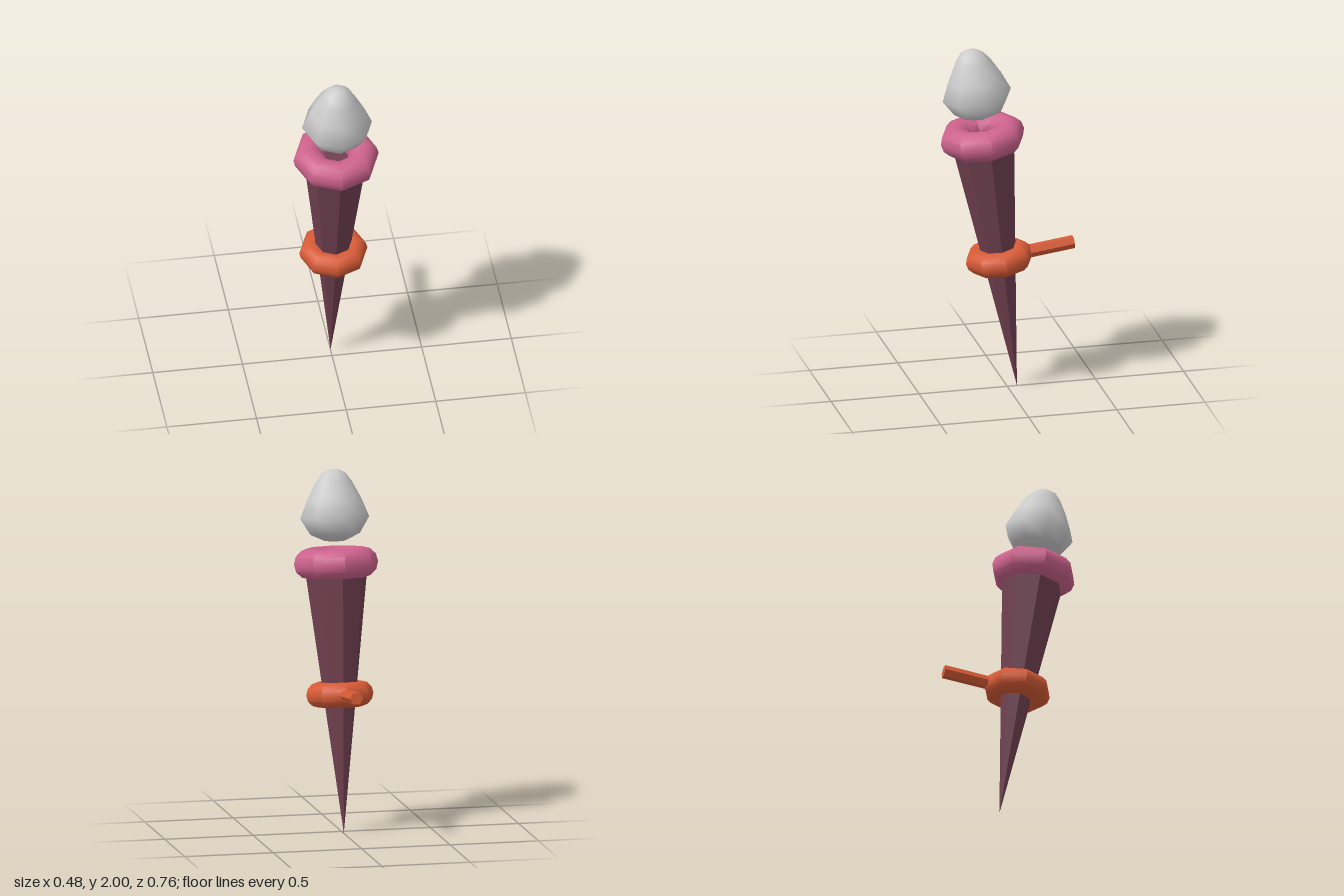
import * as THREE from 'three';
import { toCreasedNormals } from 'three/addons/utils/BufferGeometryUtils.js';

const SIDES = 8;
const material = (color) => new THREE.MeshStandardMaterial({ color });

function part(name, geometry, mat, y) {
  const mesh = new THREE.Mesh(geometry, mat);
  mesh.name = name;
  mesh.position.y = y;
  return mesh;
}

// Octagonal ring around the shaft, round in section, with crisp corners
function ringGeometry(radius, tube) {
  const g = new THREE.TorusGeometry(radius, tube, 12, SIDES).rotateX(Math.PI / 2);
  return toCreasedNormals(g, 0.7);
}

export function createModel() {
  const wood = material(0x70404f);
  const pink = material(0xcc628c);
  const orange = material(0xd65a36);
  const grey = material(0xcccccc);

  // The whole torch leans forward from its tip
  const torch = new THREE.Group();
  torch.name = 'torch';
  torch.position.set(0, 0.005, -0.055);
  torch.rotation.x = 0.131;

  // Tapered shaft, pointed at the bottom
  const shaft = new THREE.CylinderGeometry(0.18, 0, 1.495, SIDES);
  torch.add(part('shaft', toCreasedNormals(shaft, 0.5), wood, 1.495 / 2));

  // Rim at the top and band round the middle
  torch.add(part('topRing', ringGeometry(0.153, 0.085), pink, 1.495));
  torch.add(part('middleRing', ringGeometry(0.12, 0.07), orange, 0.77));

  // Hexagonal peg pointing backward from the band
  const peg = new THREE.CylinderGeometry(0.037, 0.037, 0.29, 6)
    .rotateY(Math.PI / 6 * 3).rotateX(Math.PI / 2).translate(0, 0, -0.28);
  torch.add(part('peg', toCreasedNormals(peg, 0.5), orange, 0.77));

  // Floating flame: a rounded drop
  const profile = [
    [0, 1.612], [0.06, 1.618], [0.14, 1.655], [0.195, 1.745],
    [0.152, 1.85], [0.102, 1.945], [0.068, 1.99], [0.032, 2.011], [0, 2.015],
  ].map(([r, y]) => new THREE.Vector2(r, y));
  torch.add(part('flame', new THREE.LatheGeometry(profile, SIDES), grey, 0));

  const model = new THREE.Group();
  model.name = 'model';
  model.add(torch);
  return model;
}
